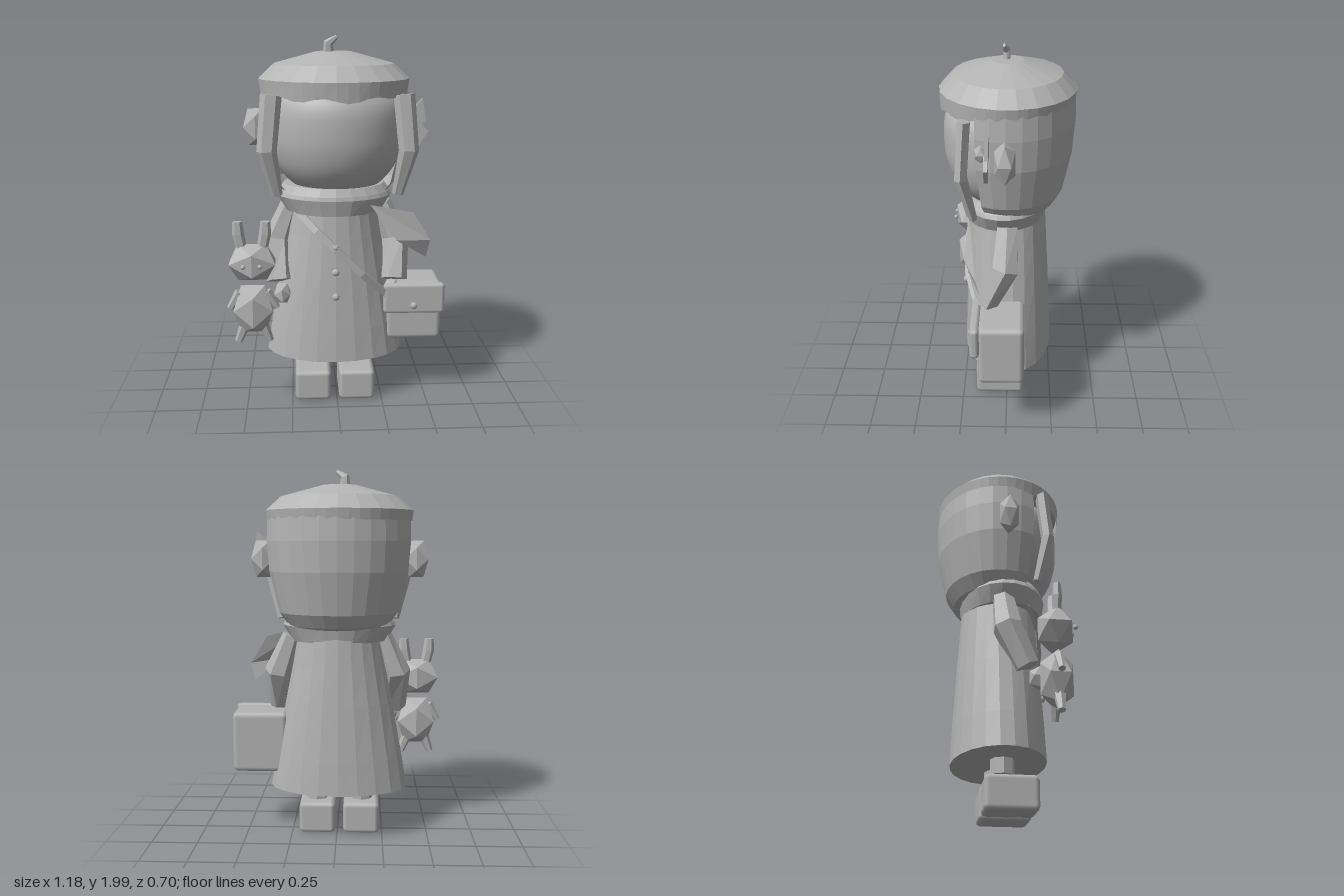
import * as THREE from 'three';
import { RoundedBoxGeometry } from 'three/addons/geometries/RoundedBoxGeometry.js';

const clay = new THREE.MeshStandardMaterial({ color: 0xb4b4b4, side: THREE.DoubleSide });
clay.name = 'clay grey';
const V = (x, y, z) => new THREE.Vector3(x, y, z);

// Skin closed rings of points, faceted, with optional end caps
function skin(rings, caps = true) {
  const out = [];
  const tri = (...pts) => pts.forEach((p) => out.push(p.x, p.y, p.z));
  const n = rings[0].length;
  for (let i = 0; i + 1 < rings.length; i++) {
    for (let j = 0; j < n; j++) {
      const k = (j + 1) % n;
      tri(rings[i][j], rings[i][k], rings[i + 1][k]);
      tri(rings[i][j], rings[i + 1][k], rings[i + 1][j]);
    }
  }
  if (caps) {
    const a = rings[0], b = rings[rings.length - 1];
    for (let j = 1; j + 1 < n; j++) {
      tri(a[0], a[j + 1], a[j]);
      tri(b[0], b[j], b[j + 1]);
    }
  }
  const geo = new THREE.BufferGeometry();
  geo.setAttribute('position', new THREE.Float32BufferAttribute(out, 3));
  geo.computeVertexNormals();
  return geo;
}

// Stack of horizontal ellipses: [y, radiusX, radiusZ]
function stack(levels, cx, cz, caps = true, sides = 22, drop = () => 0) {
  return skin(levels.map(([y, rx, rz], i) => Array.from({ length: sides }, (_, j) => {
    const a = (j / sides) * Math.PI * 2;
    return V(cx + rx * Math.sin(a), y - (i === 0 ? drop(a) : 0), cz + rz * Math.cos(a));
  })), caps);
}

// Tapered limb along points: [x, y, z, depthRadius, widthRadius]
function limb(path, sides = 6) {
  const pts = path.map((p) => V(p[0], p[1], p[2]));
  return skin(path.map((p, i) => {
    const t = pts[Math.min(i + 1, pts.length - 1)].clone().sub(pts[Math.max(i - 1, 0)]).normalize();
    const u = V(0, 0, 1).addScaledVector(t, -t.z).normalize();
    const v = t.clone().cross(u);
    return Array.from({ length: sides }, (_, j) => {
      const a = ((j + 0.5) / sides) * Math.PI * 2;
      return pts[i].clone().addScaledVector(u, p[3] * Math.cos(a)).addScaledVector(v, (p[4] ?? p[3]) * Math.sin(a));
    });
  }));
}

export function createModel() {
  const model = new THREE.Group();
  model.name = 'figure';
  const add = (name, geo, pos, scale, parent = model) => {
    const m = new THREE.Mesh(geo, clay);
    m.name = name;
    if (pos) m.position.set(...pos);
    if (scale) m.scale.set(...scale);
    parent.add(m);
    return m;
  };
  const box = (w, h, d, r) => new RoundedBoxGeometry(w, h, d, 1, r);
  const gem = new THREE.IcosahedronGeometry(1, 0);
  const stud = new THREE.IcosahedronGeometry(1, 1);

  // Hat with a bent stem and a wavy front fringe
  add('hatDome', stack([[1.74, 0.385, 0.34], [1.78, 0.397, 0.35], [1.855, 0.315, 0.28], [1.915, 0.092, 0.08]], -0.012, -0.004));
  add('hatBand', stack([[1.725, 0.388, 0.343], [1.78, 0.397, 0.35]], -0.012, -0.004, false, 44,
    (a) => Math.cos(a) > 0 ? Math.cos(a) * (0.036 + 0.013 * Math.sin(a * 9)) : 0));
  add('hatStem', limb([[-0.04, 1.9, 0, 0.02, 0.03], [-0.04, 1.958, 0.005, 0.018, 0.025], [0.005, 1.99, 0.015, 0.007, 0.01]]));

  // Hair shell, open at the front
  const profile = [[0.2, 1.14], [0.275, 1.17], [0.325, 1.24], [0.378, 1.46], [0.39, 1.62], [0.385, 1.77]];
  const hair = new THREE.LatheGeometry(profile.map((p) => new THREE.Vector2(...p)), 18, 1.1, Math.PI * 2 - 2.2).toNonIndexed();
  hair.computeVertexNormals();
  add('hair', hair, [-0.008, 0, -0.005], [1, 1, 0.89]);

  // Smooth rounded face
  const facePts = [[0, 1.2], [0.15, 1.2], [0.23, 1.225], [0.31, 1.315], [0.35, 1.42], [0.36, 1.52], [0.355, 1.62], [0.325, 1.69], [0.26, 1.74], [0, 1.76]];
  const faceCurve = new THREE.SplineCurve(facePts.map((p) => new THREE.Vector2(...p)));
  const faceProfile = faceCurve.getPoints(36).map((p) => p.setX(Math.max(0, p.x)));
  add('face', new THREE.LatheGeometry(faceProfile, 40), [0, 0, 0.005], [1, 1, 0.895]);

  // Ears, hanging locks, arms, legs and shoes on both sides
  for (const s of [-1, 1]) {
    const side = s > 0 ? 'left' : 'right';
    add(side + 'Ear', gem, [s * 0.415 - 0.012, 1.525, 0.005], [0.075, 0.115, 0.06]);
    add(side + 'Lock', limb([[s * 0.335, 1.71, 0.2, 0.034, 0.055], [s * 0.362, 1.43, 0.22, 0.034, 0.052], [s * 0.315, 1.19, 0.165, 0.02, 0.03]]));
    add(side + 'Arm', limb([[s * 0.25, 1.11, -0.005, 0.06, 0.05], [s * 0.325, 0.91, 0.005, 0.078, 0.078], [s * 0.31, 0.7, 0.105, 0.065, 0.075]]));
    add(side + 'Leg', new THREE.CylinderGeometry(0.062, 0.062, 0.16, 8).toNonIndexed(), [s * 0.123 - 0.012, 0.27, 0.003]).geometry.computeVertexNormals();
    add(side + 'Shoe', box(0.2, 0.175, 0.27, 0.025), [s * 0.122 - 0.012, 0.092, 0.04]);
    add(side + 'Hand', gem, [s * 0.297, 0.65, s < 0 ? 0.17 : 0.13], [0.05, 0.065, 0.06]);
  }

  // Hair bow on the left side
  const bow = new THREE.Group();
  bow.name = 'hairBow';
  model.add(bow);
  const plate = (pts, depth) => new THREE.ExtrudeGeometry(new THREE.Shape(pts.map((p) => new THREE.Vector2(...p))), { depth, bevelEnabled: false });
  add('upperLoop', plate([[0.385, 1.55], [0.465, 1.56], [0.445, 1.68], [0.375, 1.61]], 0.02), [0, 0, 0.08], null, bow);
  add('lowerLoop', plate([[0.385, 1.56], [0.4, 1.46], [0.43, 1.435], [0.478, 1.51], [0.42, 1.57]], 0.02), [0, 0, 0.085], null, bow);
  add('bowKnot', gem, [0.385, 1.565, 0.12], [0.035, 0.045, 0.035], bow);

  // Collar and flared coat
  add('collar', stack([[1.085, 0.26, 0.215], [1.17, 0.31, 0.235], [1.19, 0.3, 0.23], [1.23, 0.27, 0.21]], -0.012, 0.015));
  add('coat', stack([[0.27, 0.38, 0.245], [0.45, 0.35, 0.238], [0.75, 0.295, 0.222], [0.95, 0.255, 0.21], [1.12, 0.225, 0.2]], -0.01, -0.004));
  for (const y of [0.915, 0.78, 0.645]) add('coatButton', stud, [-0.012, y, 0.222 + (0.915 - y) * 0.05], [0.02, 0.02, 0.016]);

  // Scarf tail over the left shoulder
  const scarf = new THREE.BufferGeometry();
  scarf.setAttribute('position', new THREE.Float32BufferAttribute([
    0.17, 1.14, 0.2, 0.31, 0.95, 0.22, 0.5, 0.93, 0.15,
    0.17, 1.14, 0.2, 0.5, 0.93, 0.15, 0.405, 1.085, 0.15,
    0.31, 0.95, 0.22, 0.48, 0.83, 0.13, 0.5, 0.93, 0.15], 3));
  scarf.computeVertexNormals();
  add('scarfTail', scarf);

  // Shoulder bag with strap, flap and clasp
  add('bagStrap', limb([[-0.215, 1.1, 0.13, 0.014, 0.026], [-0.11, 1.0, 0.2, 0.014, 0.026], [-0.01, 0.905, 0.225, 0.014, 0.026],
    [0.13, 0.765, 0.22, 0.014, 0.026], [0.28, 0.62, 0.16, 0.014, 0.026]], 4));
  add('bagBody', box(0.305, 0.335, 0.24, 0.028), [0.423, 0.522, 0.023]);
  add('bagFlap', box(0.335, 0.172, 0.05, 0.02), [0.418, 0.606, 0.16]);
  add('bagClasp', stud, [0.415, 0.57, 0.187], [0.02, 0.02, 0.016]);

  // Toy rabbit held in the right hand
  const toy = new THREE.Group();
  toy.name = 'toyRabbit';
  toy.position.set(-0.45, 0, 0.225);
  model.add(toy);
  add('toyHead', gem, [0, 0.845, 0], [0.142, 0.116, 0.103], toy);
  add('toyBody', gem, [0, 0.585, 0], [0.122, 0.155, 0.095], toy);
  for (const s of [-1, 1]) {
    add('toyEar', limb([[s * 0.05, 0.9, 0, 0.022, 0.028], [s * 0.07, 1.0, 0, 0.025, 0.032], [s * 0.073, 1.065, 0, 0.02, 0.026]]), null, null, toy);
    add('toyLeg', limb([[s * 0.035, 0.53, 0, 0.034], [s * 0.085, 0.4, 0, 0.02]]), null, null, toy);
    add('toyArm', limb([[s * 0.07, 0.68, 0, 0.028], [s * 0.125, 0.59, 0, 0.018]]), null, null, toy);
    add('toyEye', stud, [s * 0.043, 0.847, 0.092], [0.013, 0.013, 0.013], toy);
  }
  return model;
}
